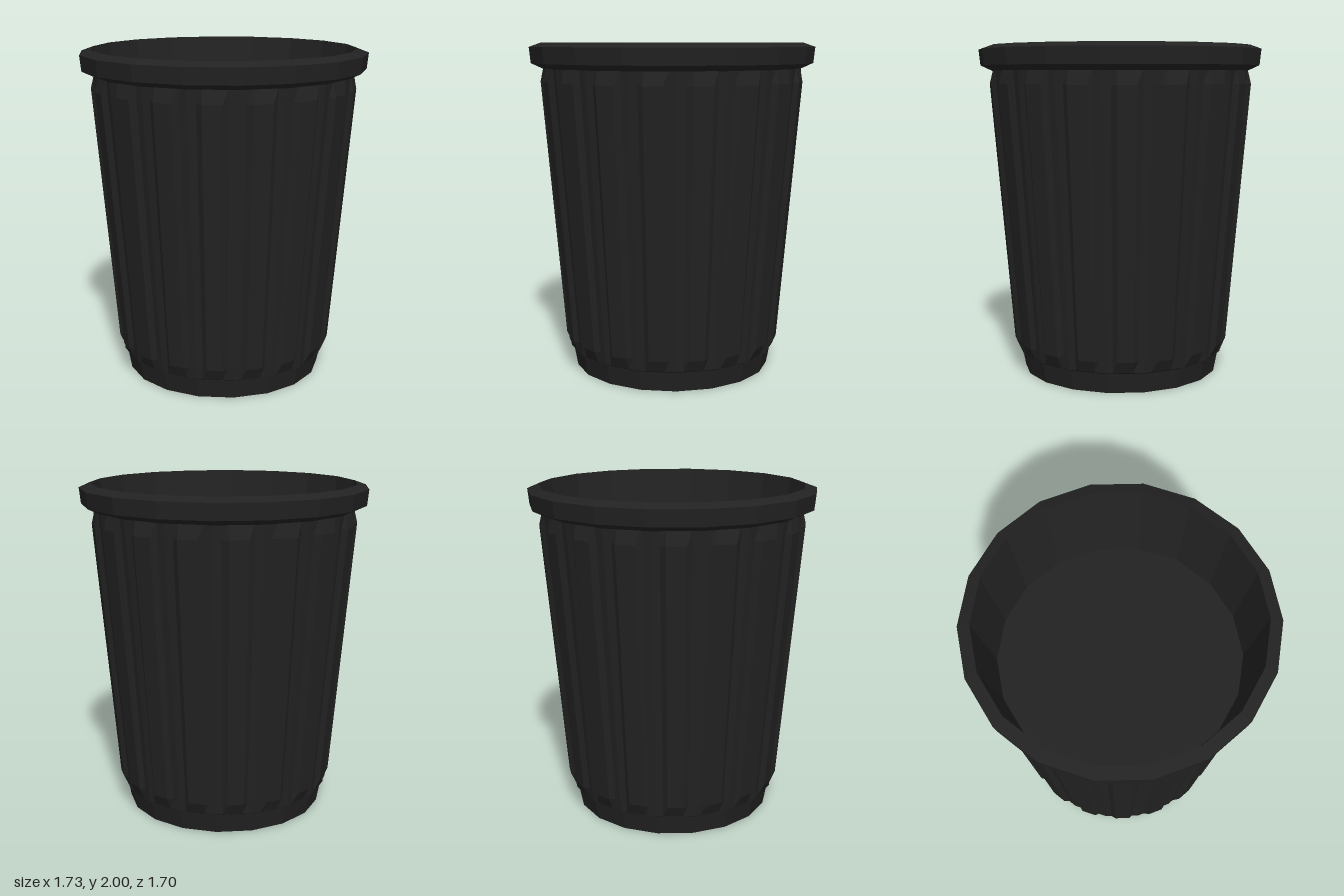
import * as THREE from 'three';

const SIDES = 18;
const STEP = (Math.PI * 2) / SIDES;
const DEG = Math.PI / 180;

// distance to the edge of an 18-sided polygon (corner radius r) at angle a
function polygonRadius(r, a) {
  const local = (a % STEP) - STEP / 2;
  return (r * Math.cos(STEP / 2)) / Math.cos(local);
}

// Surface from stacked rings of equal length, bottom to top, facing outward
function loft(rings) {
  const positions = [];
  const n = rings[0].length;
  for (let i = 0; i < rings.length - 1; i++) {
    for (let j = 0; j < n; j++) {
      const k = (j + 1) % n;
      const a = rings[i][j], b = rings[i][k], c = rings[i + 1][k], d = rings[i + 1][j];
      for (const p of [a, d, b, b, d, c]) positions.push(p.x, p.y, p.z);
    }
  }
  const geometry = new THREE.BufferGeometry();
  geometry.setAttribute('position', new THREE.Float32BufferAttribute(positions, 3));
  geometry.computeVertexNormals();
  return geometry;
}

// 18-sided turned part with corners on the x axis
function turned(points) {
  return new THREE.LatheGeometry(
    points.map(([r, y]) => new THREE.Vector2(r, y)), SIDES, Math.PI / 2);
}

export function createModel() {
  const group = new THREE.Group();
  const material = new THREE.MeshStandardMaterial({ color: 0x222222, flatShading: true });
  const add = (name, geometry) => {
    const mesh = new THREE.Mesh(geometry, material);
    mesh.name = name;
    group.add(mesh);
  };

  // Fluted wall: each side has a groove at its corners and a raised flat rib between
  const columns = [];
  for (let i = 0; i < SIDES; i++) {
    for (const [offset, rib] of [[0, 0], [3.5, 0], [6, 1], [14, 1], [16.5, 0]]) {
      columns.push({ angle: i * STEP + offset * DEG, rib });
    }
  }
  // [height, groove radius, rib radius or 0 where the ring is plain]
  const levels = [
    [0.12, 0.626, 0],
    [0.13, 0.643, 0],
    [0.2, 0.649, 0.667],
    [1.77, 0.778, 0.797],
    [1.86, 0.785, 0],
  ];
  add('flutedWall', loft(levels.map(([y, groove, ribRadius]) =>
    columns.map(({ angle, rib }) => {
      const r = rib && ribRadius ? ribRadius : polygonRadius(groove, angle);
      return new THREE.Vector3(r * Math.cos(angle), y, r * Math.sin(angle));
    }))));

  // Plain foot with closed underside
  add('foot', turned([[0, 0], [0.604, 0], [0.626, 0.12]]));

  // Thick bevelled rim
  add('rim', turned([[0.77, 1.845], [0.79, 1.85], [0.855, 1.88], [0.865, 1.975], [0.795, 2]]));

  // Inner wall and the raised floor inside
  add('innerWall', turned([[0.795, 2], [0.71, 1.5]]));
  add('innerFloor', turned([[0.71, 1.5], [0, 1.5]]));

  return group;
}
